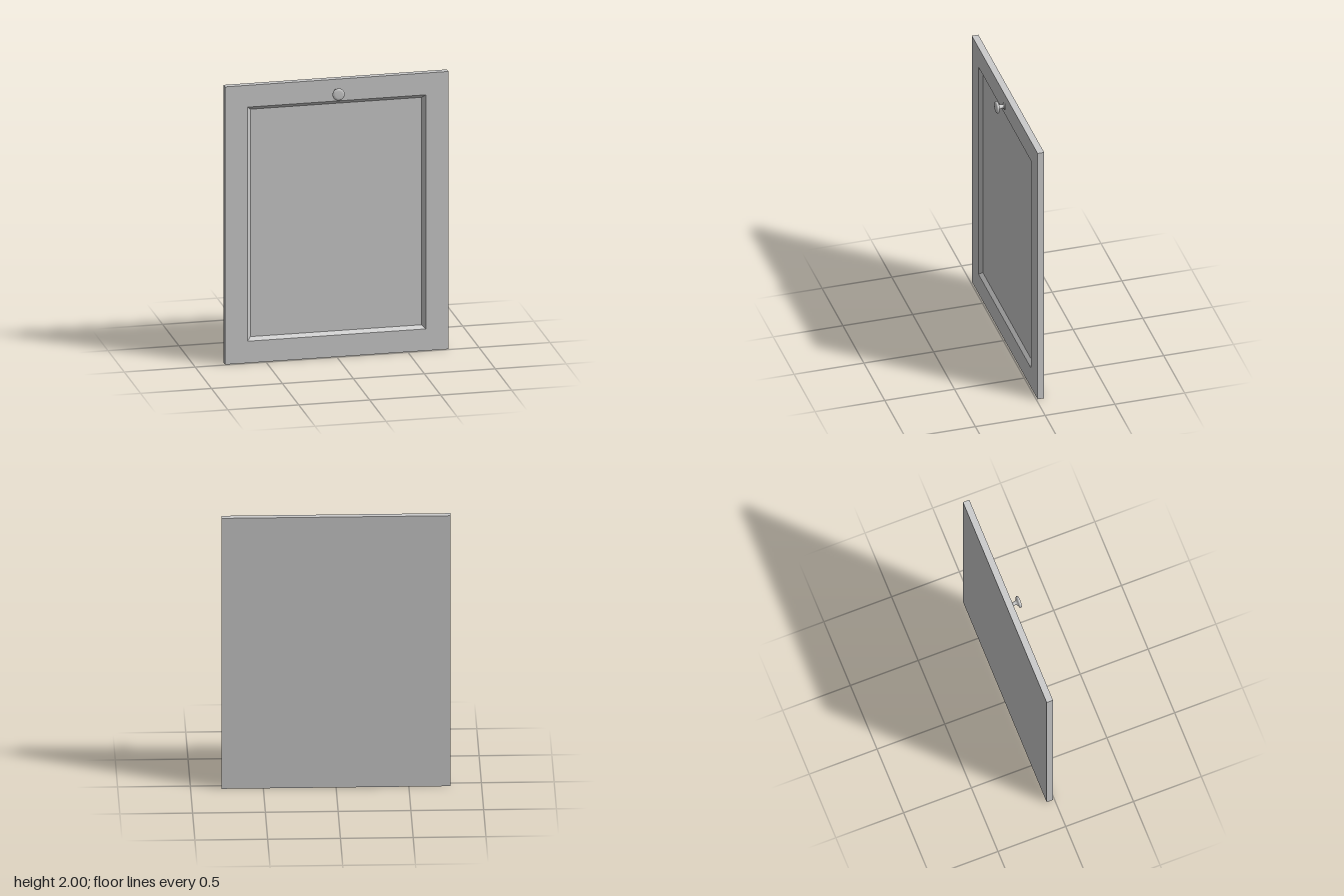
import * as THREE from 'three';

const material = new THREE.MeshStandardMaterial({ color: 0xcccccc });

// Four corners of an upright rectangle, counter-clockwise seen from the front
function rectangle(halfWidth, bottom, top, z) {
  return [
    [-halfWidth, bottom, z], [halfWidth, bottom, z],
    [halfWidth, top, z], [-halfWidth, top, z],
  ];
}

// Skins a run of rectangles from the back to the recessed floor and caps both ends
function panelGeometry(rings) {
  const positions = [];
  const quad = (a, b, c, d) => positions.push(...a, ...b, ...c, ...a, ...c, ...d);
  for (let r = 0; r < rings.length - 1; r++) {
    for (let i = 0; i < 4; i++) {
      const j = (i + 1) % 4;
      quad(rings[r][i], rings[r][j], rings[r + 1][j], rings[r + 1][i]);
    }
  }
  quad(...[...rings[0]].reverse());
  quad(...rings[rings.length - 1]);
  const geometry = new THREE.BufferGeometry();
  geometry.setAttribute('position', new THREE.Float32BufferAttribute(positions, 3));
  geometry.computeVertexNormals();
  return geometry;
}

export function createModel() {
  const group = new THREE.Group();
  group.name = 'cabinetDoor';
  const back = -0.057, front = -0.01, floor = -0.034;

  // Door slab with a recessed centre framed by a sloped edge
  const door = new THREE.Mesh(panelGeometry([
    rectangle(0.787, 0, 2, back),
    rectangle(0.787, 0, 2, front),
    rectangle(0.628, 0.157, 1.843, front),
    rectangle(0.604, 0.181, 1.819, floor),
  ]), material);
  door.name = 'doorPanel';
  group.add(door);

  // Turned knob: base flange, slim flared neck, rounded cap
  const profile = [
    [0, 0], [0.024, 0], [0.024, 0.006], [0.021, 0.009], [0.014, 0.010],
    [0.012, 0.015], [0.013, 0.024], [0.016, 0.034], [0.021, 0.042],
    [0.032, 0.045], [0.039, 0.048], [0.043, 0.054], [0.042, 0.060],
    [0.037, 0.065], [0.025, 0.067], [0, 0.067],
  ].map(([r, y]) => new THREE.Vector2(r, y));
  const knob = new THREE.Mesh(new THREE.LatheGeometry(profile, 32), material);
  knob.name = 'knob';
  knob.rotation.x = Math.PI / 2;
  knob.position.set(0, 1.907, front);
  group.add(knob);

  return group;
}
